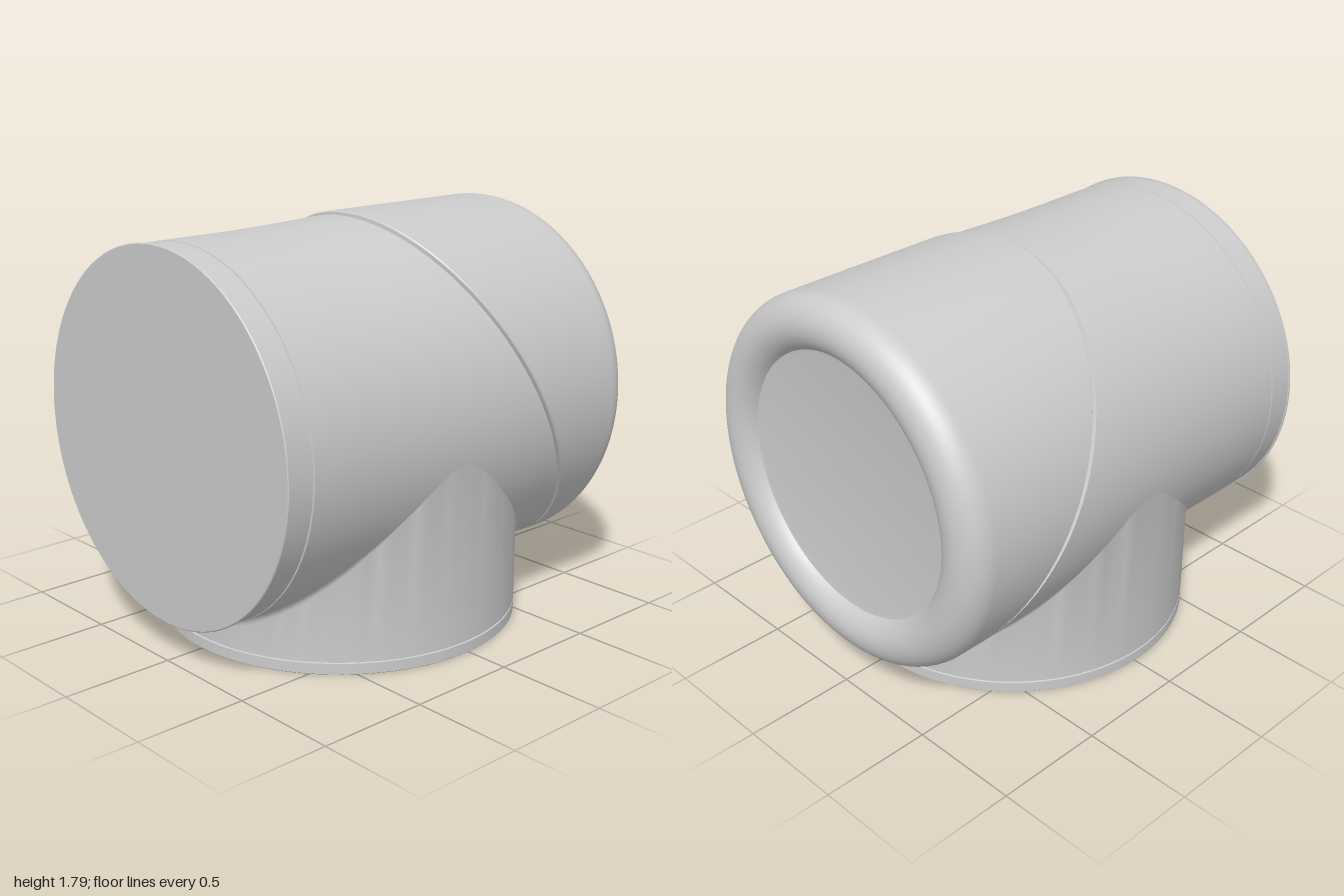
import * as THREE from 'three';
import { toCreasedNormals } from 'three/addons/utils/BufferGeometryUtils.js';

const N = 96, CY = 0.97, BACK_R = 0.825, BRANCH_R = 0.8, BRANCH_Z = 0.02;
const material = new THREE.MeshStandardMaterial({ color: 0xcccccc });

// Joins rings of points; each row is a function angle -> [x, y, z]
function loft(name, rows) {
  const pos = [], index = [];
  rows.forEach((row, i) => {
    for (let j = 0; j < N; j++) {
      pos.push(...row(j / N * Math.PI * 2));
      if (i === rows.length - 1) continue;
      const a = i * N + j, b = i * N + (j + 1) % N;
      index.push(a, a + N, b, b, a + N, b + N);
    }
  });
  const geo = new THREE.BufferGeometry();
  geo.setAttribute('position', new THREE.Float32BufferAttribute(pos, 3));
  geo.setIndex(index);
  const mesh = new THREE.Mesh(toCreasedNormals(geo, 0.55), material);
  mesh.name = name;
  return mesh;
}

// Pipe radius swells gently towards the back
const pipeRadius = z => 0.795 + 0.028 * THREE.MathUtils.smoothstep(-z, -0.6, 0.5);
// Slanted seam plane between pipe and end cap
const seamZ = a => -0.015 + (CY + 0.82 * Math.sin(a) - 1.79) * 0.5185;
const ring = (r, z) => a => [r * Math.cos(a), CY + r * Math.sin(a), z];
const seamRing = (r, dz) => a => ring(r, seamZ(a) + dz)(a);

function pipe() {
  // Flat front, thin rim, collar and fine groove
  const rows = [[0, 1], [0.796, 1], [0.8, 0.996], [0.8, 0.99], [0.794, 0.988],
    [0.794, 0.873], [0.788, 0.871], [0.788, 0.867], [0.795, 0.865]].map(p => ring(...p));
  // Swelling wall that ends on the slanted seam
  for (let i = 1; i <= 24; i++) rows.push(a => {
    const z = THREE.MathUtils.lerp(0.865, seamZ(a) + 0.012, i / 24);
    return ring(pipeRadius(z), z)(a);
  });
  rows.push(seamRing(0.803, 0.008), seamRing(0.803, -0.012));
  return loft('pipe', rows);
}

function endCap() {
  const rows = [seamRing(0.8, -0.008), seamRing(BACK_R - 0.005, -0.01), seamRing(BACK_R, -0.015)];
  // Rolled rim turning into a shallow recess
  const roll = 0.125;
  for (let i = 0; i <= 20; i++) {
    const t = i / 20 * Math.PI * 0.83;
    rows.push(ring(BACK_R - roll + roll * Math.cos(t), -1 + roll - roll * Math.sin(t)));
  }
  rows.push(ring(0.57, -0.935), ring(0, -0.935));
  return loft('endCap', rows);
}

function branch() {
  const at = (r, y) => a => [r * Math.cos(a), y, BRANCH_Z + r * Math.sin(a)];
  // Closed foot with a fine groove
  const rows = [[0, 0], [0.797, 0], [0.8, 0.003], [0.8, 0.05], [0.793, 0.052],
    [0.793, 0.056], [0.8, 0.058]].map(p => at(...p));
  // Wall follows the underside of the pipe and flares into it at front and back
  for (let i = 0; i <= 8; i++) rows.push(a => {
    const t = i / 8 * Math.PI / 2, f = 0.05 * Math.sin(a) ** 2;
    const r = BRANCH_R + f * (1 - Math.cos(t));
    const [x, , z] = at(r, 0)(a);
    const under = CY - Math.sqrt(Math.max(0, pipeRadius(z) ** 2 - x * x));
    return [x, under + 0.004 - f * (1 - Math.sin(t)), z];
  });
  return loft('branch', rows);
}

export function createModel() {
  const group = new THREE.Group();
  group.name = 'pipeTee';
  group.add(pipe(), endCap(), branch());
  return group;
}
